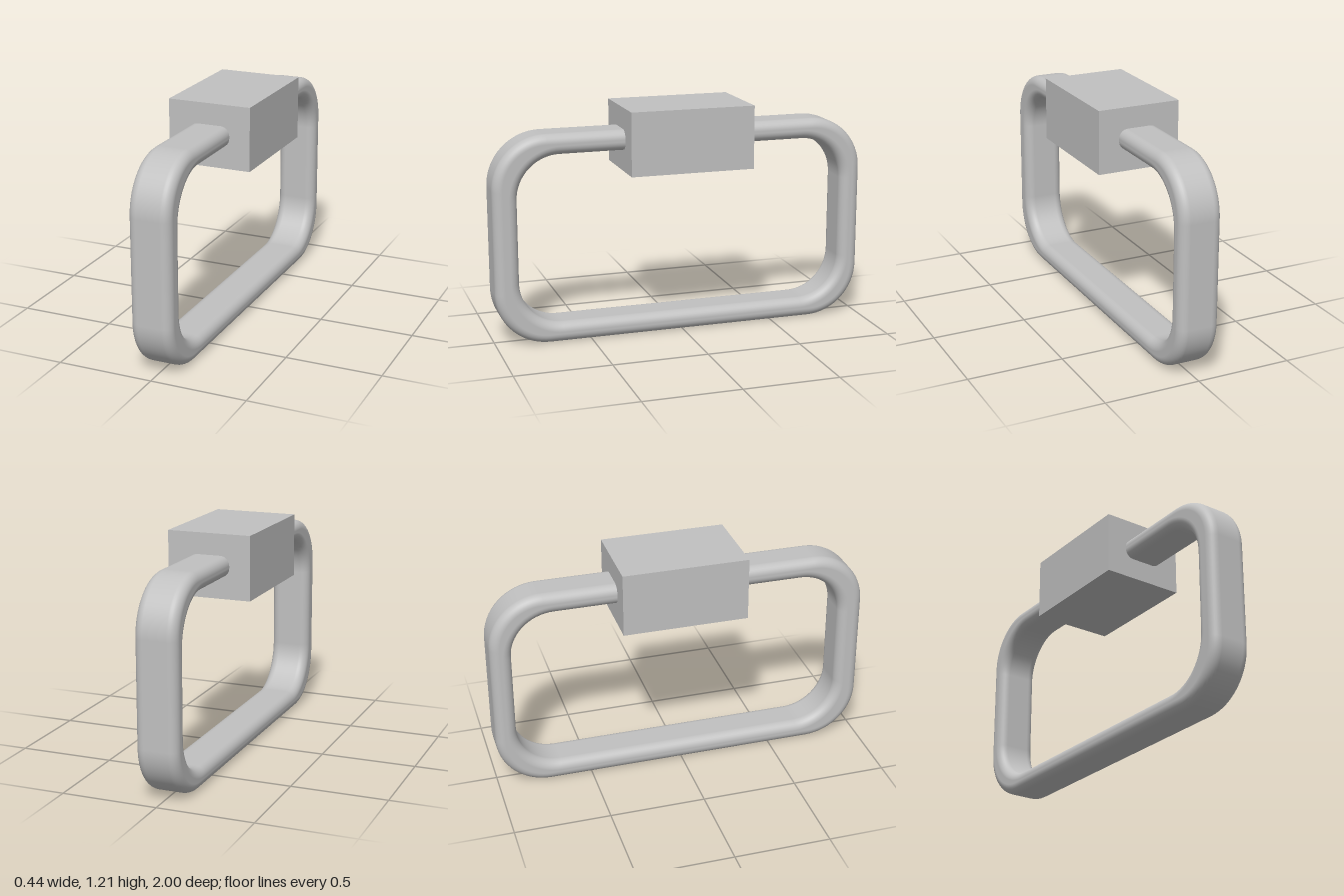
import * as THREE from 'three';

// Rounded-rectangle loop in the z/y plane: points with outward normals
function roundedLoop(z0, z1, y0, y1, radius, steps) {
  const points = [];
  const corners = [[z1, y1, -1, -1], [z0, y1, 1, -1], [z0, y0, 1, 1], [z1, y0, -1, 1]];
  corners.forEach(([z, y, dz, dy], k) => {
    for (let i = 0; i <= steps; i++) {
      const angle = (k + i / steps) * Math.PI / 2;
      const nz = Math.cos(angle), ny = Math.sin(angle);
      points.push({ z: z + dz * radius + nz * radius, y: y + dy * radius + ny * radius, nz, ny });
    }
  });
  return points;
}

// Closed band between two loops, with filleted long edges
function ringGeometry(outer, inner, halfWidth, fillet) {
  const positions = [], normals = [], index = [];
  const arcSteps = 8, sides = 4 * (arcSteps + 1), count = outer.length;
  for (let i = 0; i < count; i++) {
    const { nz, ny } = outer[i];
    for (let quarter = 0; quarter < 4; quarter++) {
      const radial = quarter === 0 || quarter === 3 ? 1 : -1;
      const across = quarter < 2 ? 1 : -1;
      const base = radial > 0 ? outer[i] : inner[i];
      for (let k = 0; k <= arcSteps; k++) {
        const t = (quarter + k / arcSteps) * Math.PI / 2;
        const c = Math.cos(t), s = Math.sin(t);
        const offset = fillet * (c - radial);
        positions.push(across * (halfWidth - fillet) + s * fillet, base.y + ny * offset, base.z + nz * offset);
        normals.push(s, ny * c, nz * c);
      }
    }
    const next = (i + 1) % count;
    for (let j = 0; j < sides; j++) {
      const j2 = (j + 1) % sides;
      const a = i * sides + j, b = i * sides + j2;
      const c = next * sides + j, d = next * sides + j2;
      index.push(a, b, c, b, d, c);
    }
  }
  const geometry = new THREE.BufferGeometry();
  geometry.setAttribute('position', new THREE.Float32BufferAttribute(positions, 3));
  geometry.setAttribute('normal', new THREE.Float32BufferAttribute(normals, 3));
  geometry.setIndex(index);
  return geometry;
}

export function createModel() {
  const model = new THREE.Group();
  model.name = 'ringHandle';
  const grey = new THREE.MeshStandardMaterial({ color: 0xc0c0c0 });
  grey.name = 'lightGrey';

  // Hanging ring, slightly thicker at the front end
  const outer = roundedLoop(-1, 1, 0, 1.097, 0.28, 16);
  const inner = roundedLoop(-0.89, 0.873, 0.106, 0.99, 0.225, 16);
  const ring = new THREE.Mesh(ringGeometry(outer, inner, 0.11, 0.048), grey);
  ring.name = 'ring';
  model.add(ring);

  // Mounting block around the top bar
  const block = new THREE.Mesh(new THREE.BoxGeometry(0.44, 0.33, 0.655), grey);
  block.name = 'mountingBlock';
  block.position.set(0, 1.043, -0.014);
  model.add(block);

  return model;
}
